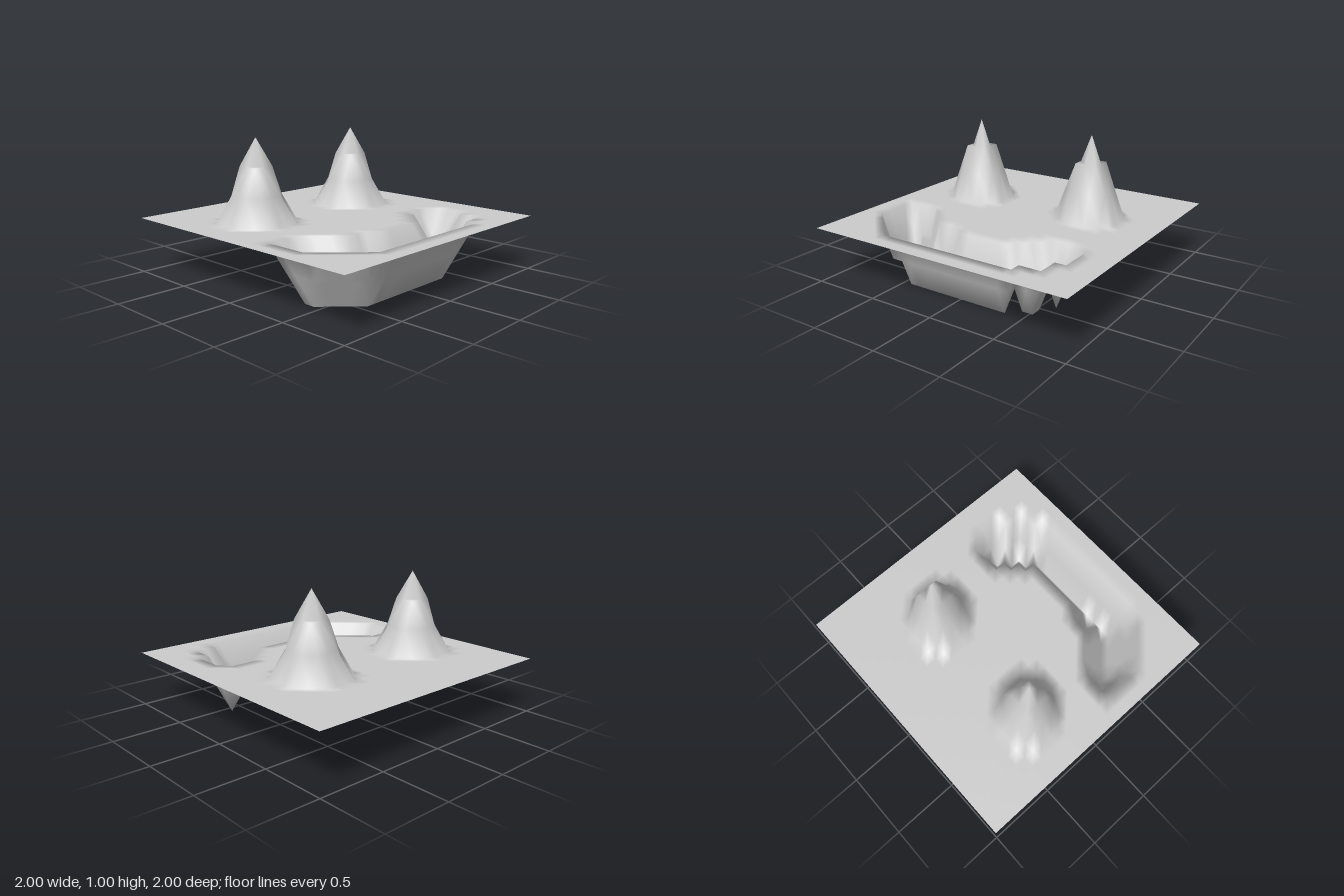
import * as THREE from 'three';

const CELLS = 25, CELL = 2 / CELLS, STEP = 0.2, GROUND = 0.4;

// Grid points (column, row) of the two peaks
const peaks = [[6, 9], [18, 9]];

// Grid points of the trench floor
const floor = [];
for (let k = 0; k < 4; k++) floor.push([4 + k, 17 + k], [4 + k, 18 + k]); // slanted left arm
for (let i = 7; i <= 17; i++) floor.push([i, 21]);                         // straight middle
floor.push([9, 20]);                                                      // notch in the inner wall
floor.push([18, 20], [19, 20], [19, 19], [20, 18]);                        // stepped right arm

// Whole steps of height a round brush leaves at a grid point
function brush(points, strength, i, j) {
  let best = 0;
  for (const [a, b] of points) {
    best = Math.max(best, strength - Math.round(Math.hypot(i - a, j - b)));
  }
  return best;
}

export function createModel() {
  const group = new THREE.Group();
  group.name = 'sculptedTerrain';

  const grey = new THREE.MeshStandardMaterial({ color: 0xcccccc, side: THREE.DoubleSide });
  grey.name = 'plain grey';

  // Flat sheet; the quarter turn sets the direction of the cell diagonals
  const sheet = new THREE.PlaneGeometry(2, 2, CELLS, CELLS);
  sheet.rotateX(-Math.PI / 2).rotateY(Math.PI / 2);

  // Raise the peaks and sink the trench
  const pos = sheet.attributes.position;
  for (let v = 0; v < pos.count; v++) {
    const i = Math.round((pos.getX(v) + 1) / CELL);
    const j = Math.round((pos.getZ(v) + 1) / CELL);
    pos.setY(v, GROUND + STEP * (brush(peaks, 3, i, j) - brush(floor, 2, i, j)));
  }
  sheet.computeVertexNormals();

  const terrain = new THREE.Mesh(sheet, grey);
  terrain.name = 'terrainSheet';
  group.add(terrain);
  return group;
}
